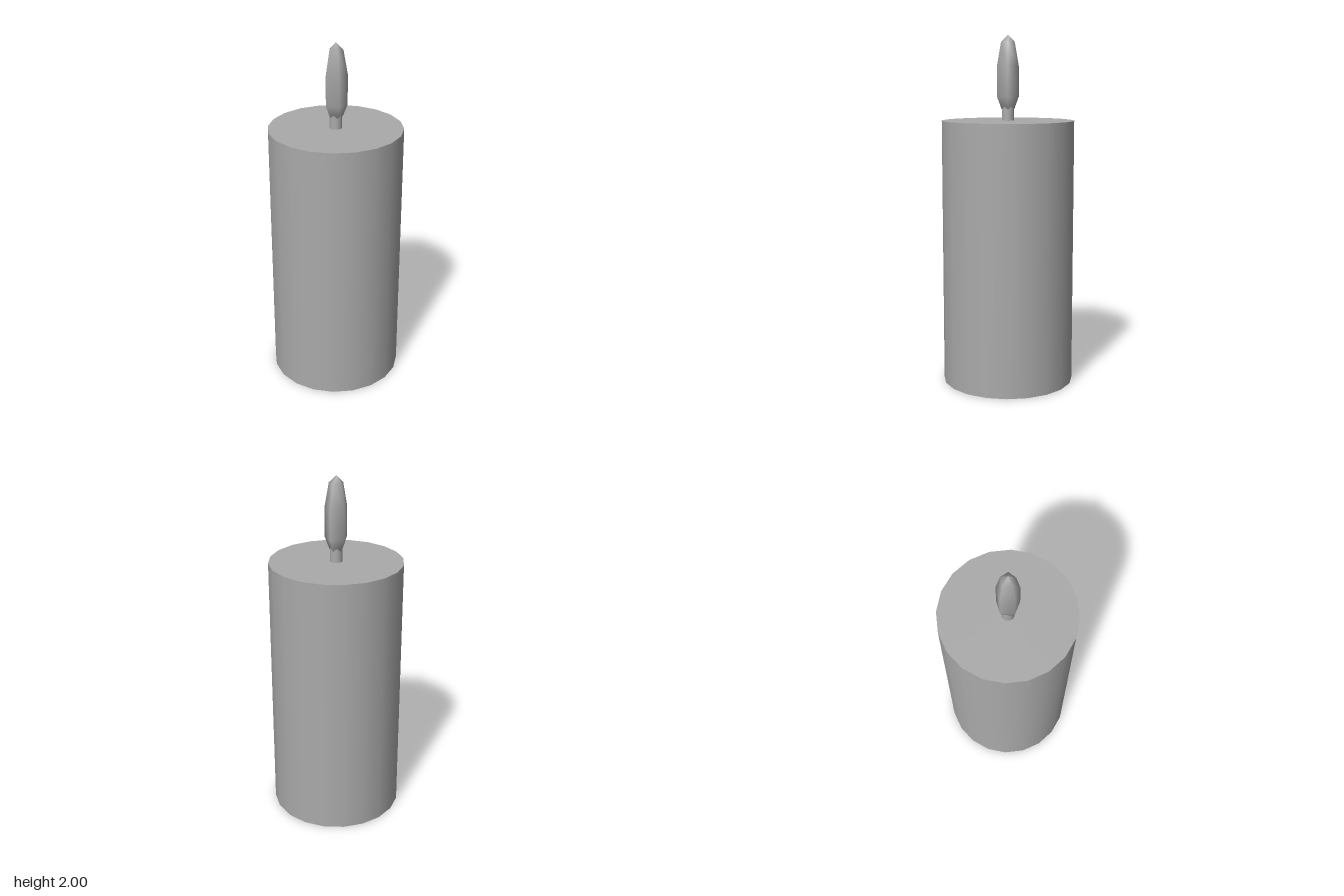
import * as THREE from 'three';

export function createModel() {
  const group = new THREE.Group();
  const grey = new THREE.MeshStandardMaterial({ color: 0xaaaaaa });
  grey.name = 'plain grey';

  const add = (name, geometry, y = 0) => {
    const mesh = new THREE.Mesh(geometry, grey);
    mesh.name = name;
    mesh.position.y = y;
    group.add(mesh);
  };

  // Wax body: twenty-sided, standing on the ground
  const bodyHeight = 1.52;
  add('candleBody', new THREE.CylinderGeometry(0.378, 0.378, bodyHeight, 20), bodyHeight / 2);

  // Short wick, its top hidden inside the flame
  add('wick', new THREE.CylinderGeometry(0.035, 0.035, 0.12, 20), bodyHeight + 0.06);

  // Five-sided flame with one corner towards +x
  const profile = [
    [0, 1.53], [0.04, 1.59], [0.065, 1.655], [0.065, 1.825], [0.041, 1.96], [0, 2],
  ].map(([r, y]) => new THREE.Vector2(r, y));
  add('flame', new THREE.LatheGeometry(profile, 5, Math.PI / 2));

  return group;
}
